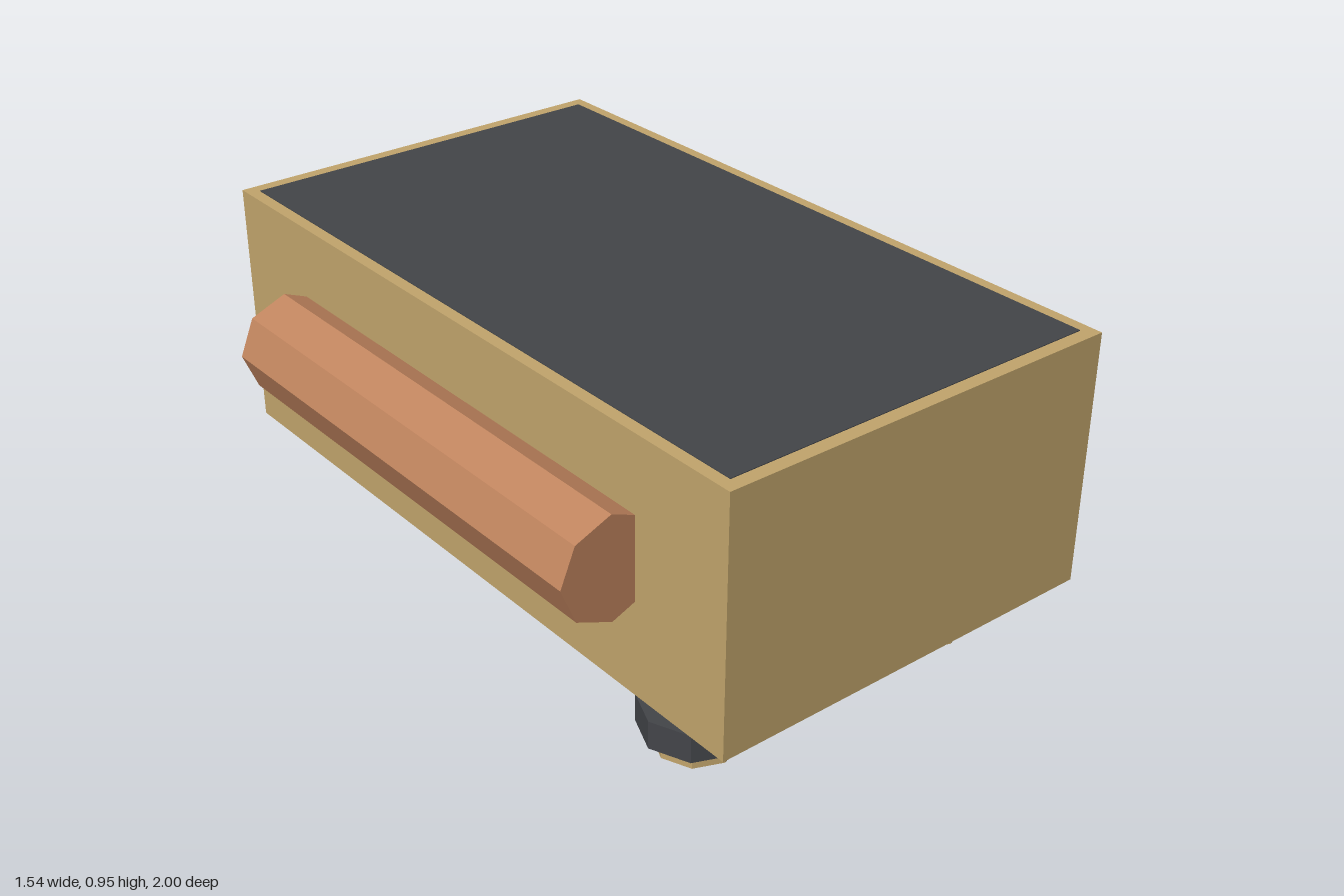
import * as THREE from 'three';

const mat = (color) => new THREE.MeshStandardMaterial({ color, flatShading: true });

export function createModel() {
  const model = new THREE.Group();
  model.name = 'model';

  const tan = mat(0xc2a56c);
  const dark = mat(0x434549);
  const copper = mat(0xc0845e);
  const blue = mat(0x3a94dc);
  const lightBlue = mat(0x6cc0e0);

  const add = (parent, name, geometry, material, x, y, z) => {
    const mesh = new THREE.Mesh(geometry, material);
    mesh.name = name;
    mesh.position.set(x, y, z);
    parent.add(mesh);
    return mesh;
  };

  // Body with a dark inlaid top panel
  add(model, 'body', new THREE.BoxGeometry(1.136, 0.684, 2), tan, 0, 0.607, 0);
  add(model, 'topPanel', new THREE.BoxGeometry(1.07, 0.02, 1.925), dark, 0, 0.941, 0);

  // Octagonal side bars, partly sunk into the body
  for (const [side, name] of [[1, 'leftSideBar'], [-1, 'rightSideBar']]) {
    const bar = new THREE.CylinderGeometry(0.139, 0.139, 1.39, 8).rotateX(Math.PI / 2);
    add(model, name, bar, copper, side * 0.632, 0.634, 0);
  }

  // Stretched octagonal disc and flat diamond under the body
  const disc = new THREE.CylinderGeometry(1, 1, 0.07, 8).scale(0.355, 1, 0.41);
  add(model, 'undersideDisc', disc, lightBlue, 0, 0.178, 0.055);
  const diamond = new THREE.OctahedronGeometry(1).scale(0.16, 0.064, 0.475);
  add(model, 'undersideDiamond', diamond, blue, 0, 0.216, 0);

  // Three stepped feet: two in front, one behind
  const feet = [
    ['frontLeftFoot', 0.38, 0.69],
    ['frontRightFoot', -0.38, 0.69],
    ['backFoot', 0, -0.605],
  ];
  for (const [name, x, z] of feet) {
    const foot = new THREE.Group();
    foot.name = name;
    foot.position.set(x, 0, z);
    const step = (part, radius, y0, y1, sides, material) =>
      add(foot, part, new THREE.CylinderGeometry(radius, radius, y1 - y0, sides).rotateY(Math.PI / 2),
        material, 0, (y0 + y1) / 2, 0);
    step('footCollar', 0.146, 0.088, 0.166, 8, dark);
    step('footRing', 0.107, 0.04, 0.088, 8, tan);
    step('footTip', 0.052, 0, 0.04, 6, blue);
    model.add(foot);
  }

  return model;
}
